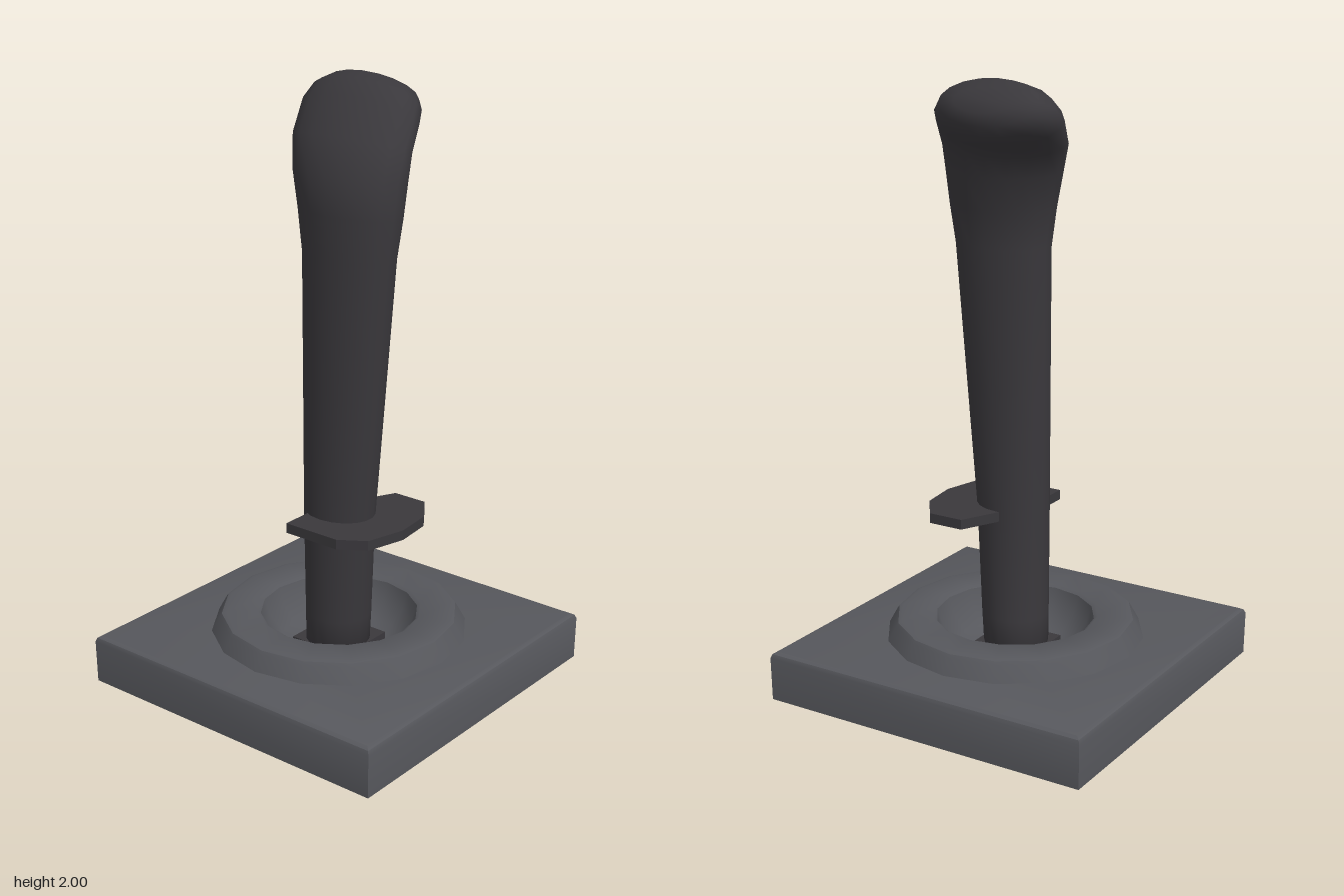
import * as THREE from 'three';
import { toCreasedNormals, mergeVertices } from 'three/addons/utils/BufferGeometryUtils.js';

const BASE = 0x56575c, GRIP = 0x3a383c, PLATE = 0x2a302f, GREEN = 0x3f7040;

function part(name, geometry, color, side = THREE.FrontSide) {
  const mesh = new THREE.Mesh(geometry, new THREE.MeshStandardMaterial({ color, side }));
  mesh.name = name;
  return mesh;
}

// Revolve [radius, height] pairs, keeping the hard edges hard.
function lathe(profile, sides, start = 0, crease = 0.6) {
  const points = profile.map(([r, y]) => new THREE.Vector2(r, y));
  return toCreasedNormals(new THREE.LatheGeometry(points, sides, start), crease);
}

// Extrude an [x, z] outline upward from y to y + height, with an optional square hole.
function slab(outline, y, height, hole = 0) {
  const shape = new THREE.Shape(outline.map(([x, z]) => new THREE.Vector2(x, -z)));
  if (hole) shape.holes.push(new THREE.Path(square(hole, hole).map(([x, z]) => new THREE.Vector2(x, -z))));
  return new THREE.ExtrudeGeometry(shape, { depth: height, bevelEnabled: false })
    .rotateX(-Math.PI / 2).translate(0, y, 0);
}

function square(w, d) {
  return [[-w, d], [w, d], [w, -d], [-w, -d]];
}

// Skin elliptical rings, each given as [xMin, xMax, zFront, yFront, zBack, yBack].
function loft(sections, n) {
  const pos = [], index = [];
  for (const [x0, x1, zf, yf, zb, yb] of sections) {
    for (let i = 0; i < n; i++) {
      const a = (i / n) * Math.PI * 2, s = Math.sin(a), c = Math.cos(a);
      pos.push((x0 + x1) / 2 + s * (x1 - x0) / 2,
        (yf + yb) / 2 + c * (yf - yb) / 2,
        (zf + zb) / 2 + c * (zf - zb) / 2);
    }
  }
  const rings = sections.length;
  for (let j = 0; j < rings - 1; j++) {
    for (let i = 0; i < n; i++) {
      const a = j * n + i, b = j * n + (i + 1) % n;
      index.push(a, b, a + n, b, b + n, a + n);
    }
  }
  // Close both ends with a fan
  for (const j of [0, rings - 1]) {
    const [x0, x1, zf, yf, zb, yb] = sections[j];
    const centre = pos.length / 3;
    pos.push((x0 + x1) / 2, (yf + yb) / 2, (zf + zb) / 2);
    for (let i = 0; i < n; i++) {
      const a = j * n + i, b = j * n + (i + 1) % n;
      if (j) index.push(a, b, centre); else index.push(b, a, centre);
    }
  }
  const g = new THREE.BufferGeometry();
  g.setAttribute('position', new THREE.Float32BufferAttribute(pos, 3));
  g.setIndex(index);
  const merged = mergeVertices(g);
  merged.computeVertexNormals();
  return merged;
}

export function createModel() {
  const model = new THREE.Group();
  model.name = 'joystick';

  // Square base: a hollow shell, open underneath
  const q = Math.SQRT2;
  const shell = [[0.573, 0], [0.575, 0.145], [0.57, 0.158], [0.558, 0.165], [0.28, 0.165],
    [0.28, 0.15], [0.56, 0.15], [0.56, 0], [0.573, 0]].map(([r, y]) => [r * q, y]);
  model.add(part('base', lathe(shell, 4, Math.PI / 4), BASE));

  // Raised sixteen-sided collar and the bowl within it
  model.add(part('collar', lathe([[0.43, 0.16], [0.4, 0.215], [0.393, 0.226], [0.38, 0.23],
    [0.275, 0.23], [0.263, 0.222]], 16), BASE, THREE.DoubleSide));
  model.add(part('bowl', lathe([[0.263, 0.222], [0.245, 0.165], [0.2, 0.11], [0.14, 0.08],
    [0.001, 0.075]], 16), BASE, THREE.DoubleSide));

  // Crosswise plate under the base with nested pivot frames
  model.add(part('bottomPlate', slab(square(0.555, 0.31), 0.045, 0.02, 0.135), PLATE));
  const pivot = new THREE.Group();
  pivot.name = 'pivot';
  pivot.add(part('outerFrame', slab(square(0.13, 0.13), 0.052, 0.022, 0.11), BASE));
  pivot.add(part('innerFrame', slab(square(0.095, 0.095), 0.045, 0.022, 0.075), BASE));
  pivot.add(part('pivotRing',
    new THREE.TorusGeometry(0.058, 0.009, 6, 24).rotateX(Math.PI / 2).translate(0, 0.055, 0), GRIP));
  pivot.add(part('pivotCore', new THREE.CylinderGeometry(0.04, 0.04, 0.02, 20).translate(0, 0.063, 0), GREEN));
  model.add(pivot);

  // Square foot at the root of the grip
  model.add(part('foot', slab(square(0.11, 0.11), 0.078, 0.05), GRIP));

  // Grip: widens upward, then bends back into a broad rounded head
  model.add(part('grip', loft([
    [-0.105, 0.105, 0.115, 0.08, -0.1, 0.08],
    [-0.105, 0.118, 0.12, 0.23, -0.096, 0.23],
    [-0.101, 0.148, 0.13, 0.58, -0.074, 0.58],
    [-0.105, 0.185, 0.13, 1.0, -0.079, 1.0],
    [-0.11, 0.225, 0.13, 1.46, -0.085, 1.46],
    [-0.135, 0.238, 0.128, 1.6, -0.106, 1.58],
    [-0.165, 0.245, 0.122, 1.72, -0.125, 1.69],
    [-0.21, 0.234, 0.06, 1.83, -0.152, 1.76],
    [-0.242, 0.205, -0.04, 1.94, -0.205, 1.8],
    [-0.238, 0.18, -0.1, 1.985, -0.24, 1.83],
    [-0.205, 0.145, -0.15, 1.998, -0.258, 1.865],
    [-0.13, 0.075, -0.2, 1.975, -0.258, 1.905],
  ], 18), GRIP));

  // Flat hand rest, reaching round the left side of the grip
  model.add(part('handRest', slab([[-0.04, 0.22], [0.165, 0.22], [0.25, 0.165], [0.285, 0.03],
    [0.27, -0.1], [0.2, -0.2], [0.08, -0.2], [0.0, -0.04], [-0.04, 0.04]], 0.565, 0.033), GRIP));

  return model;
}
